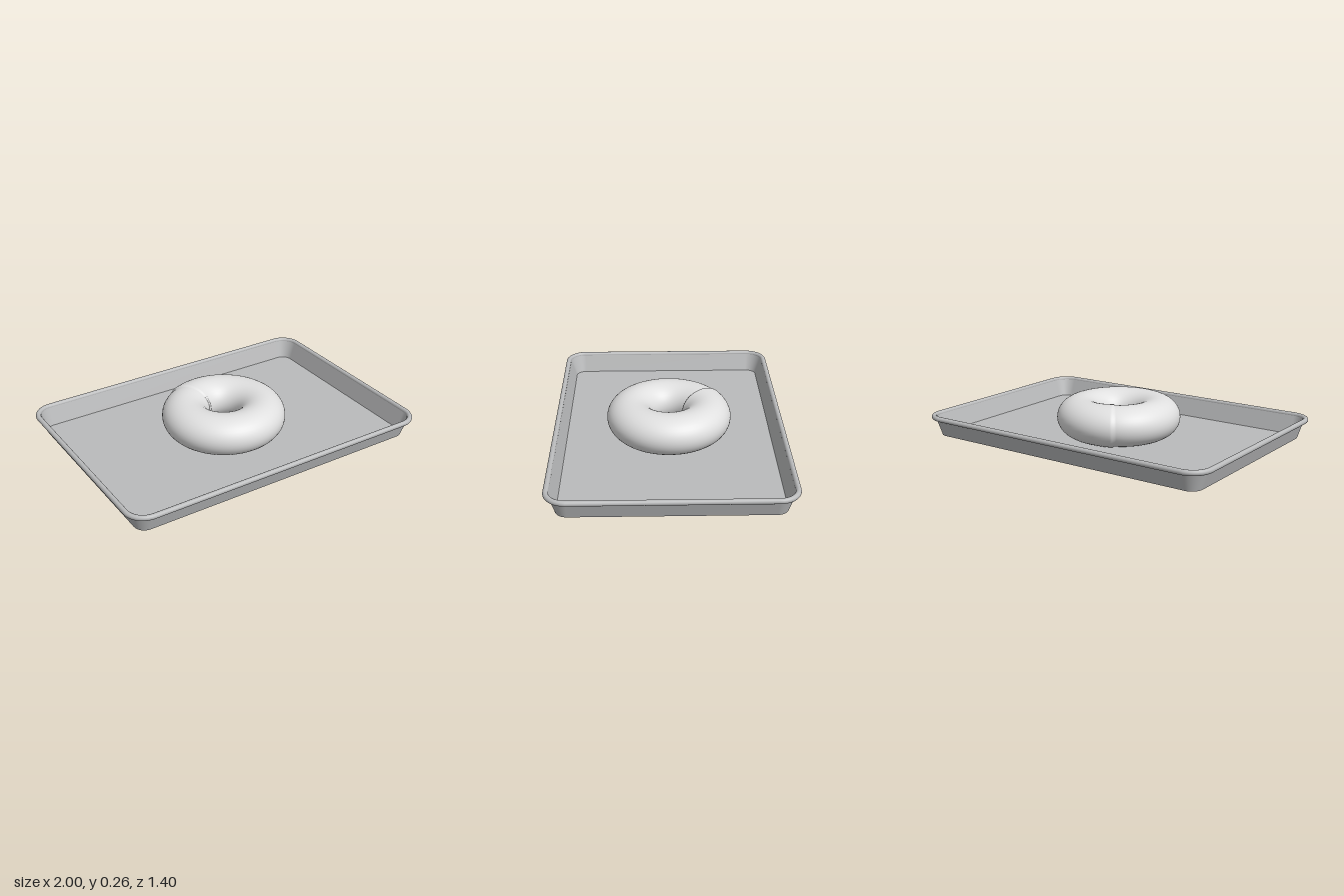
import * as THREE from 'three';

const HALF_X = 1, HALF_Z = 0.7, CORNER = 0.13;

// Points of a rounded rectangle, inset from the tray's outer edge
function outline(inset) {
  const pts = [], steps = 10, r = CORNER - inset;
  [[1, 1], [-1, 1], [-1, -1], [1, -1]].forEach(([sx, sz], k) => {
    for (let i = 0; i <= steps; i++) {
      const a = (k + i / steps) * Math.PI / 2;
      pts.push([sx * (HALF_X - CORNER) + r * Math.cos(a), sz * (HALF_Z - CORNER) + r * Math.sin(a)]);
    }
  });
  return pts;
}

// Smooth skin over nu x nv points, closed along u and optionally along v
function skin(nu, nv, closedV, point) {
  const pos = [], index = [];
  for (let i = 0; i < nu; i++) for (let j = 0; j < nv; j++) pos.push(...point(i, j));
  for (let i = 0; i < nu; i++) {
    for (let j = 0; j < (closedV ? nv : nv - 1); j++) {
      const i2 = (i + 1) % nu, j2 = (j + 1) % nv;
      const a = i * nv + j, b = i2 * nv + j, c = i2 * nv + j2, d = i * nv + j2;
      index.push(a, d, b, b, d, c);
    }
  }
  const geo = new THREE.BufferGeometry();
  geo.setAttribute('position', new THREE.Float32BufferAttribute(pos, 3));
  geo.setIndex(index);
  geo.computeVertexNormals();
  return geo;
}

// Sweep a profile of [inset, height] pairs around the tray
function sweep(profile, closed) {
  const rings = profile.map(([inset]) => outline(inset));
  return skin(rings[0].length, profile.length, closed,
    (i, j) => [rings[j][i][0], profile[j][1], rings[j][i][1]]);
}

function panel(inset, y, facing) {
  const shape = new THREE.Shape(outline(inset).map(([x, z]) => new THREE.Vector2(x, z)));
  return new THREE.ShapeGeometry(shape).rotateX(-facing * Math.PI / 2).translate(0, y, 0);
}

// Ring of dough whose thick end overlaps its thin end at a slanted seam
function doughRing() {
  const nu = 180, nv = 40, R = 0.24, a = 0.1425, b = 0.124;
  return skin(nu, nv, true, (i, j) => {
    const t = i / nu, v = j / nv * Math.PI * 2;
    const s = 1 + 0.035 * Math.exp(-t * 14) - 0.03 * Math.exp(-(1 - t) * 40);
    const phi = -0.47 + t * Math.PI * 2 - 0.04 * Math.cos(v);
    const r = R + a * s * Math.cos(v);
    const y = Math.max(0.005, 0.128 + b * s * Math.sin(v));
    return [r * Math.sin(phi), y, -r * Math.cos(phi)];
  });
}

export function createModel() {
  const trayGrey = new THREE.MeshStandardMaterial({ color: 0xbabbbc });
  trayGrey.name = 'tray grey';
  const doughGrey = new THREE.MeshStandardMaterial({ color: 0xe0e0e0 });
  doughGrey.name = 'pale dough';

  const model = new THREE.Group();
  model.name = 'bagelOnTray';
  const tray = new THREE.Group();
  tray.name = 'tray';
  model.add(tray);
  const add = (parent, name, geo, mat) => {
    const mesh = new THREE.Mesh(geo, mat);
    mesh.name = name;
    parent.add(mesh);
  };

  // Sloping walls, inside and outside
  add(tray, 'outerWall', sweep([[0.062, 0], [0.027, 0.108]], false), trayGrey);
  add(tray, 'innerWall', sweep([[0.03, 0.12], [0.067, 0.005]], false), trayGrey);

  // Rolled rim
  const bead = [];
  for (let k = 0; k < 16; k++) {
    const a = k / 16 * Math.PI * 2;
    bead.push([0.016 - 0.016 * Math.cos(a), 0.117 + 0.016 * Math.sin(a)]);
  }
  add(tray, 'rolledRim', sweep(bead, true), trayGrey);

  // Flat floor and underside
  add(tray, 'floor', panel(0.067, 0.005, 1), trayGrey);
  add(tray, 'underside', panel(0.062, 0, -1), trayGrey);

  add(model, 'bagel', doughRing(), doughGrey);
  return model;
}
